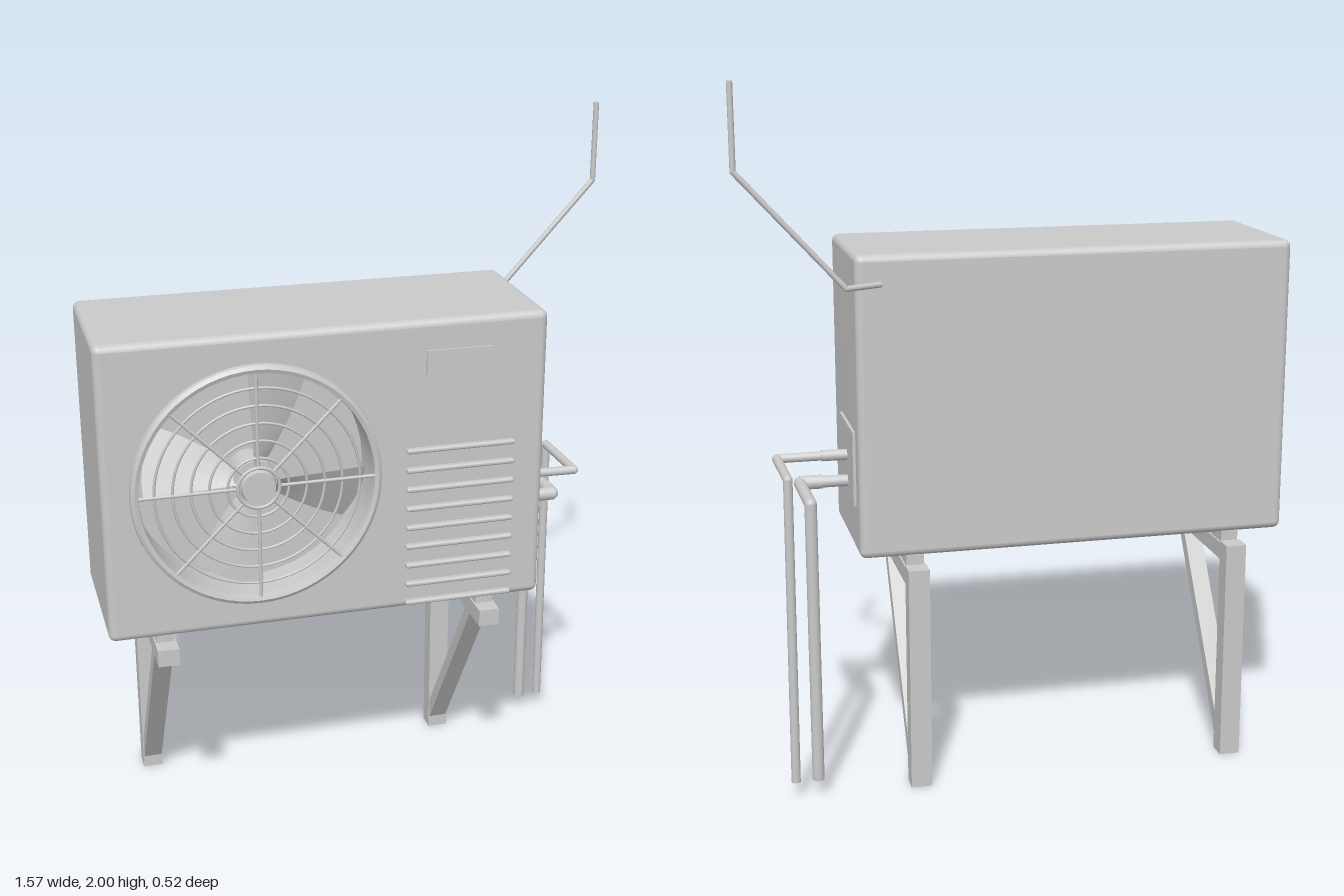
import * as THREE from 'three';
import { RoundedBoxGeometry } from 'three/addons/geometries/RoundedBoxGeometry.js';
import { toCreasedNormals } from 'three/addons/utils/BufferGeometryUtils.js';

const grey = new THREE.MeshStandardMaterial({ color: 0xcacaca });
grey.name = 'light grey metal';
grey.side = THREE.DoubleSide;

function add(parent, name, geometry, x = 0, y = 0, z = 0) {
  const mesh = new THREE.Mesh(geometry, grey);
  mesh.name = name;
  mesh.position.set(x, y, z);
  parent.add(mesh);
  return mesh;
}

function box(parent, name, x0, x1, y0, y1, z0, z1) {
  return add(parent, name, new THREE.BoxGeometry(x1 - x0, y1 - y0, z1 - z0),
    (x0 + x1) / 2, (y0 + y1) / 2, (z0 + z1) / 2);
}

// Straight pipe runs joined by round elbows
function pipe(parent, name, points, radius) {
  const group = new THREE.Group();
  group.name = name;
  const pts = points.map((p) => new THREE.Vector3(...p));
  for (let i = 0; i < pts.length - 1; i++) {
    const dir = pts[i + 1].clone().sub(pts[i]);
    const run = add(group, 'run', new THREE.CylinderGeometry(radius, radius, dir.length(), 16));
    run.position.copy(pts[i]).addScaledVector(dir, 0.5);
    run.quaternion.setFromUnitVectors(new THREE.Vector3(0, 1, 0), dir.normalize());
    if (i > 0) add(group, 'elbow', new THREE.SphereGeometry(radius, 16, 10), ...points[i]);
  }
  parent.add(group);
}

// Rounded rectangle, inset evenly from the casing outline
const X0 = -0.79, X1 = 0.46, Y0 = 0.68, Y1 = 1.535, ZB = -0.207, ZF = 0.24, R = 0.02;
const FX = -0.365, FY = 1.105;
function outline(inset) {
  const pts = [], r = Math.max(R - inset, 0.001);
  const corners = [[X1 - R, Y1 - R], [X0 + R, Y1 - R], [X0 + R, Y0 + R], [X1 - R, Y0 + R]];
  corners.forEach(([cx, cy], k) => {
    for (let i = 0; i <= 5; i++) {
      const a = (k + i / 5) * Math.PI / 2;
      pts.push(new THREE.Vector2(cx + r * Math.cos(a), cy + r * Math.sin(a)));
    }
  });
  return pts;
}

// Casing walls: outline loops from back to front, rounded at both ends
function wallGeometry() {
  const loops = [];
  for (let i = 0; i <= 5; i++) {
    const a = i / 5 * Math.PI / 2;
    loops.push([R * (1 - Math.sin(a)), ZB + R * (1 - Math.cos(a))]);
  }
  for (let i = 5; i >= 0; i--) loops.push([loops[i][0], ZF + ZB - loops[i][1]]);
  const pos = [], index = [];
  let n = 0;
  loops.forEach(([inset, z], row) => {
    const pts = outline(inset);
    n = pts.length;
    pts.forEach((p, i) => {
      pos.push(p.x, p.y, z);
      if (row === 0) return;
      const j = (i + 1) % n, a = (row - 1) * n, b = row * n;
      index.push(a + i, a + j, b + j, a + i, b + j, b + i);
    });
  });
  const g = new THREE.BufferGeometry();
  g.setAttribute('position', new THREE.Float32BufferAttribute(pos, 3));
  g.setIndex(index);
  g.computeVertexNormals();
  return g;
}

function casing(parent) {
  add(parent, 'casingWalls', wallGeometry());
  const front = new THREE.Shape(outline(R));
  front.holes.push(new THREE.Path().absarc(FX, FY, 0.33, 0, Math.PI * 2, true));
  add(parent, 'frontPanel', new THREE.ShapeGeometry(front, 48), 0, 0, ZF);
  const back = add(parent, 'backPanel', new THREE.ShapeGeometry(new THREE.Shape(outline(R))), X0 + X1, 0, ZB);
  back.rotation.y = Math.PI;
  // Recess behind the fan
  const well = add(parent, 'fanWell', toCreasedNormals(new THREE.LatheGeometry(
    [new THREE.Vector2(0, 0.1), new THREE.Vector2(0.33, 0.1), new THREE.Vector2(0.33, ZF)], 64), 0.6), FX, FY, 0);
  well.rotation.x = Math.PI / 2;
  // Raised louvres, label plate and valve cover
  for (let i = 0; i < 9; i++) {
    add(parent, 'louvre', new RoundedBoxGeometry(0.315, 0.014, 0.024, 2, 0.006), 0.212, 1.164 - i * 0.058, 0.244);
  }
  box(parent, 'labelPlate', 0.11, 0.3, 1.37, 1.45, ZF, ZF + 0.006);
  box(parent, 'valveCover', X1, X1 + 0.008, 0.82, 1.035, -0.15, 0.097);
}

// Pitched blade swept clockwise from a straight radial edge
function bladeGeometry() {
  const g = new THREE.PlaneGeometry(1, 1, 8, 8);
  const p = g.attributes.position;
  for (let i = 0; i < p.count; i++) {
    const u = p.getX(i) + 0.5, v = p.getY(i) + 0.5;
    const r = 0.05 + 0.26 * u;
    const a = 0.05 - v * (0.75 - 0.15 * u);
    p.setXYZ(i, r * Math.cos(a), r * Math.sin(a), 0.215 - 0.085 * v * (0.5 + 0.5 * u));
  }
  g.computeVertexNormals();
  return g;
}

function fan(parent) {
  const group = new THREE.Group();
  group.name = 'fan';
  group.position.set(FX, FY, 0);
  parent.add(group);
  const blade = bladeGeometry();
  for (let i = 0; i < 4; i++) add(group, 'blade', blade).rotation.z = i * Math.PI / 2;
  add(group, 'fanHub', new THREE.CylinderGeometry(0.06, 0.06, 0.1, 32), 0, 0, 0.16).rotation.x = Math.PI / 2;

  // Guard: rim, concentric wires, spokes and centre cap
  const rim = [[0.325, 0], [0.327, 0.014], [0.338, 0.018], [0.348, 0.012], [0.35, 0]];
  const rimMesh = add(group, 'guardRim', toCreasedNormals(new THREE.LatheGeometry(
    rim.map(([r, h]) => new THREE.Vector2(r, h)), 64), 0.5), 0, 0, ZF);
  rimMesh.rotation.x = Math.PI / 2;
  for (const r of [0.085, 0.135, 0.185, 0.235, 0.285]) {
    add(group, 'guardRing', new THREE.TorusGeometry(r, 0.004, 6, 64), 0, 0, 0.249);
  }
  for (let i = 0; i < 8; i++) {
    const a = i * Math.PI / 4;
    add(group, 'guardSpoke', new THREE.CylinderGeometry(0.005, 0.005, 0.275, 8),
      -0.192 * Math.sin(a), 0.192 * Math.cos(a), 0.25).rotation.z = a;
  }
  add(group, 'guardCap', new THREE.CylinderGeometry(0.046, 0.05, 0.016, 32), 0, 0, 0.252).rotation.x = Math.PI / 2;
  add(group, 'guardCapRing', new THREE.TorusGeometry(0.058, 0.005, 6, 48), 0, 0, 0.254);
}

// Wall bracket: post, arm, rubber foot and diagonal brace
function bracket(parent, x) {
  const group = new THREE.Group();
  group.name = 'bracket';
  group.position.x = x;
  parent.add(group);
  box(group, 'post', -0.03, 0.03, 0, 0.655, -0.26, -0.205);
  box(group, 'arm', -0.03, 0.03, 0.6, 0.65, -0.205, 0.26);
  box(group, 'foot', -0.025, 0.025, 0.65, 0.682, -0.2, 0.21);
  const brace = add(group, 'brace', new THREE.BoxGeometry(0.054, 0.67, 0.036), 0, 0.325, -0.035);
  brace.rotation.x = Math.atan2(0.365, 0.55);
  add(group, 'bolt', new THREE.CylinderGeometry(0.012, 0.012, 0.025, 12), 0, 0.55, -0.195).rotation.x = Math.PI / 2;
}

export function createModel() {
  const model = new THREE.Group();
  model.name = 'airConditionerOutdoorUnit';
  casing(model);
  fan(model);
  bracket(model, -0.632);
  bracket(model, 0.305);

  // Refrigerant pipes with thicker fittings, and the power cable
  pipe(model, 'upperPipe', [[0.46, 0.94, -0.03], [0.666, 0.938, -0.024], [0.66, 0.938, -0.245], [0.664, 0.05, -0.245]], 0.013);
  pipe(model, 'lowerPipe', [[0.46, 0.865, -0.035], [0.604, 0.865, -0.032], [0.6, 0.865, -0.243], [0.6, 0.05, -0.243]], 0.017);
  pipe(model, 'upperFitting', [[0.46, 0.94, -0.03], [0.54, 0.94, -0.028]], 0.016);
  pipe(model, 'lowerFitting', [[0.54, 0.865, -0.033], [0.605, 0.865, -0.032]], 0.02);
  pipe(model, 'powerCable', [[0.39, 1.455, -0.207], [0.49, 1.455, -0.255], [0.776, 1.77, -0.255], [0.776, 2, -0.255]], 0.008);
  return model;
}
